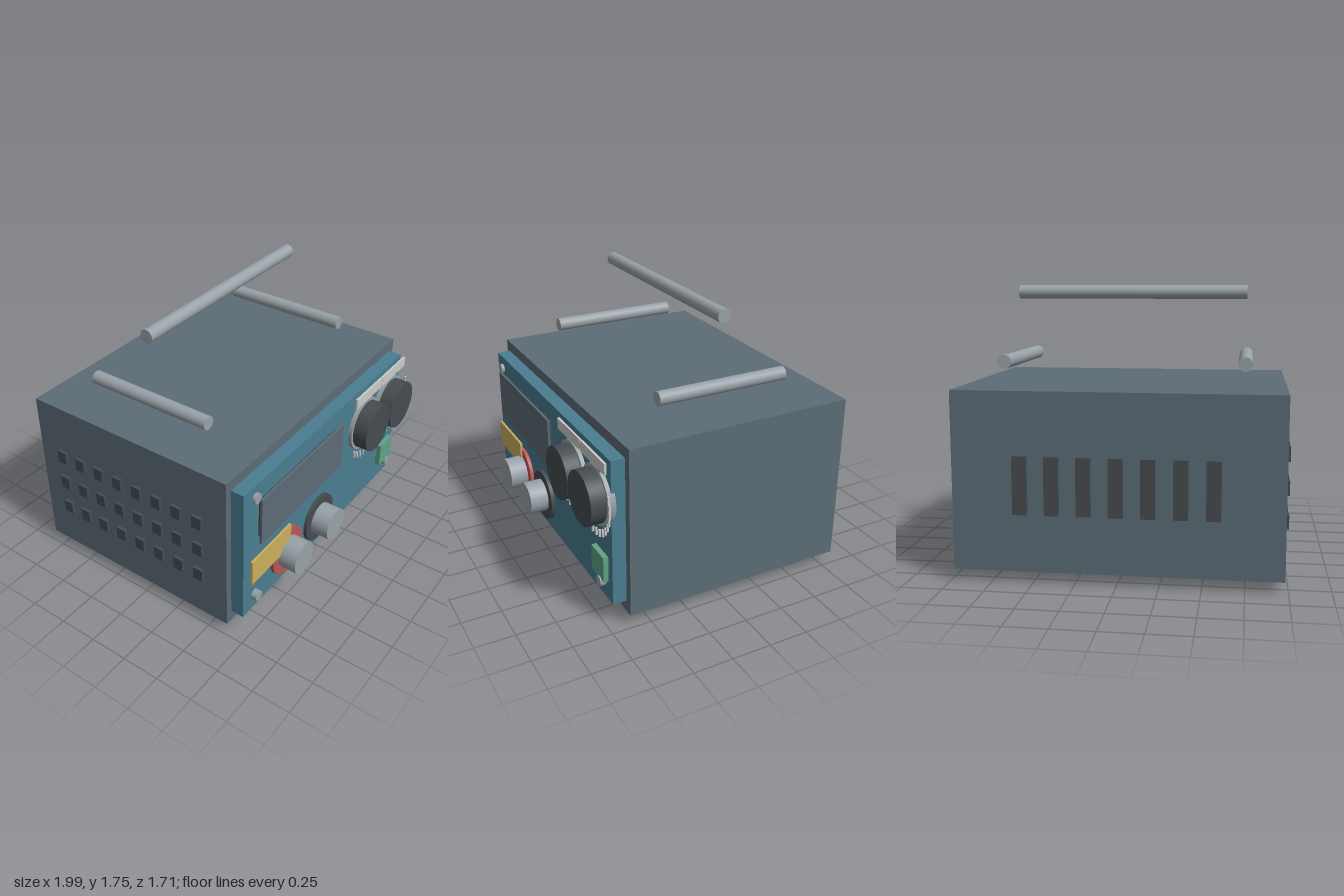
import * as THREE from 'three';

const mat = (name, color) => {
  const m = new THREE.MeshStandardMaterial({ color });
  m.name = name;
  return m;
};

export function createModel() {
  const casing = mat('slate casing', 0x5c6c76);
  const teal = mat('teal panel', 0x497d90);
  const metal = mat('grey metal', 0x98a2a8);
  const black = mat('black plastic', 0x464c50);
  const pale = mat('pale label', 0xcaccc9);
  const yellow = mat('yellow label', 0xcbae5e);
  const red = mat('red plastic', 0xb85858);
  const green = mat('green switch', 0x5fa385);

  const root = new THREE.Group();
  root.name = 'benchPowerSupply';

  const add = (name, geometry, material, x, y, z) => {
    const m = new THREE.Mesh(geometry, material);
    m.name = name;
    m.position.set(x, y, z);
    root.add(m);
    return m;
  };
  // box given by its minimum and maximum on each axis
  const box = (name, material, x0, x1, y0, y1, z0, z1) =>
    add(name, new THREE.BoxGeometry(x1 - x0, y1 - y0, z1 - z0), material,
      (x0 + x1) / 2, (y0 + y1) / 2, (z0 + z1) / 2);
  // cylinder along z
  const disc = (name, material, r, x, y, z0, z1) =>
    add(name, new THREE.CylinderGeometry(r, r, z1 - z0, 40).rotateX(Math.PI / 2),
      material, x, y, (z0 + z1) / 2);

  // casing, front panel and the two front feet
  box('casing', casing, -0.98, 0.98, 0.07, 1.15, -0.83, 0.625);
  box('frontPanel', teal, -0.935, 0.93, 0.145, 1.08, 0.62, 0.712);
  for (const s of [-1, 1]) {
    const x = s * 0.731;
    box('foot', black, x - 0.157, x + 0.157, 0, 0.07, 0.23, 0.455);
    disc('handleSideBar', metal, 0.043, s * 0.731, 1.29, -0.53, 0.325);
  }
  add('handleTopBar', new THREE.CylinderGeometry(0.043, 0.043, 1.465, 32).rotateZ(Math.PI / 2),
    metal, 0, 1.71, -0.105);

  // back slots
  for (let i = -3; i <= 3; i++) {
    const x = i * 0.189;
    box('backSlot', black, x - 0.043, x + 0.043, 0.42, 0.77, -0.855, -0.825);
  }
  // vent grid on the right side
  for (let row = 0; row < 3; row++) {
    for (let col = 0; col < 8; col++) {
      const y = 0.383 + row * 0.202, z = -0.64 + col * 0.152;
      box('sideVent', black, -1, -0.975, y - 0.043, y + 0.043, z - 0.034, z + 0.034);
    }
  }

  // display with a wider cover plate
  box('displayBack', black, -0.785, 0.07, 0.69, 0.955, 0.71, 0.737);
  box('displayCover', casing, -0.81, 0.1, 0.66, 0.985, 0.738, 0.752);

  // panel screws
  for (const x of [-0.825, 0.82])
    for (const y of [0.255, 1.0]) disc('screw', metal, 0.033, x, y, 0.715, y < 0.5 ? 0.753 : 0.736);

  // output terminals
  for (const [x, m] of [[-0.485, red], [-0.105, black]]) {
    disc('terminalBase', m, 0.164, x, 0.357, 0.70, 0.735);
    disc('terminalPost', metal, 0.107, x, 0.357, 0.72, 0.853);
  }
  box('yellowLabel', yellow, -0.89, -0.475, 0.395, 0.57, 0.73, 0.746);
  box('powerSwitch', green, 0.71, 0.875, 0.275, 0.44, 0.71, 0.744);

  // dials with their rings, scale ticks and labels
  for (const x of [0.43, 0.765]) {
    disc('dialRing', metal, 0.184, x, 0.8, 0.69, 0.737);
    disc('dialKnob', black, 0.165, x, 0.8, 0.735, 0.832);
    for (let i = 0; i < 13; i++) {
      const a = THREE.MathUtils.degToRad(-131 + i * 12.5);
      const tx = x + 0.22 * Math.cos(a), ty = 0.8 + 0.22 * Math.sin(a);
      box('scaleTick', pale, tx - 0.006, tx + 0.006, ty - 0.023, ty + 0.023, 0.742, 0.754);
    }
    box('dialLabel', pale, x - 0.165, x + 0.165, 1.003, 1.073, 0.735, 0.749);
  }
  return root;
}
